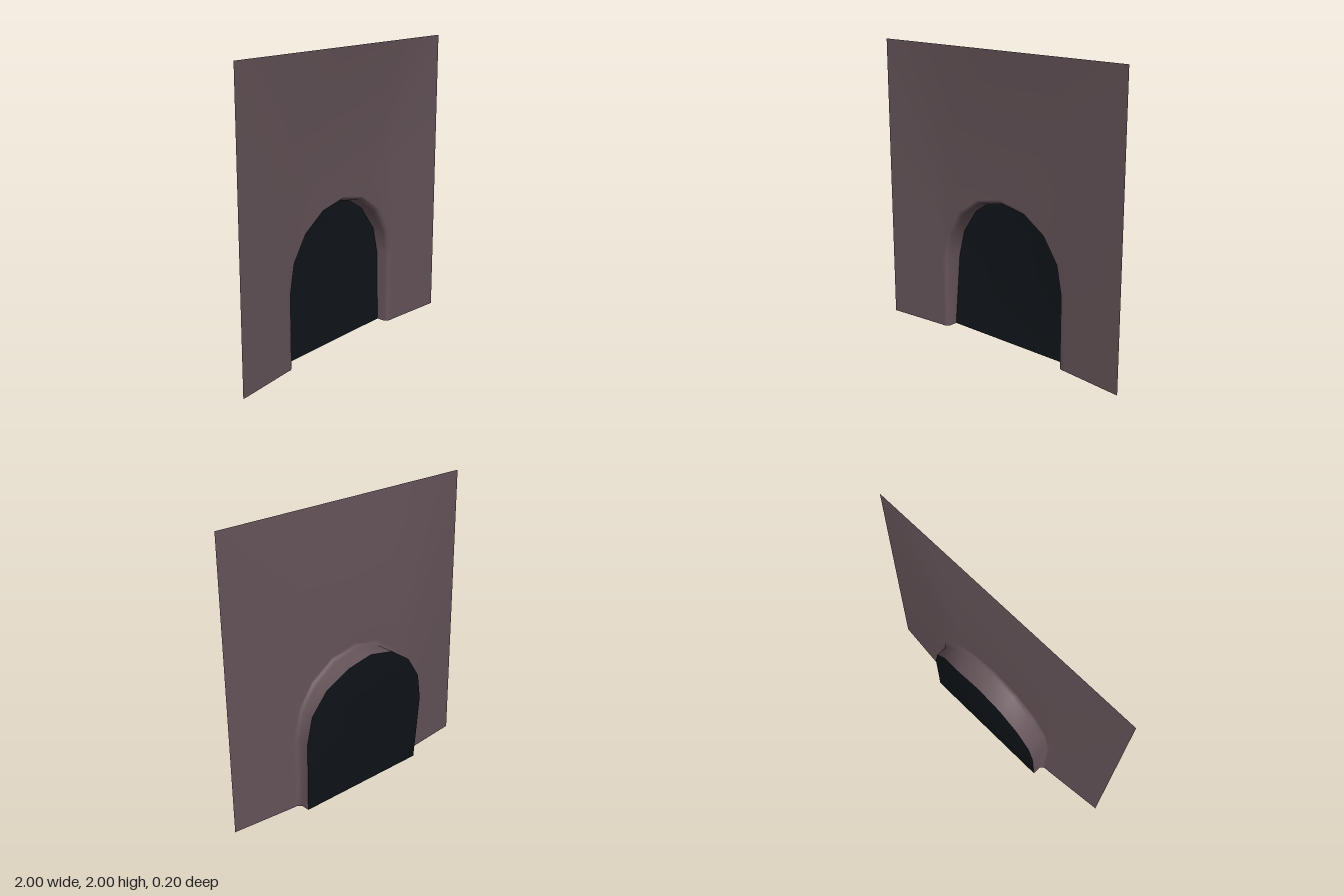
import * as THREE from 'three';

// Surface through open rings of points that share a station count
function loft(rings, material) {
  const n = rings[0].length;
  const index = [];
  for (let k = 0; k < rings.length - 1; k++) {
    for (let i = 0; i < n - 1; i++) {
      const a = k * n + i, b = a + 1, d = a + n, c = d + 1;
      index.push(a, b, c, a, c, d);
    }
  }
  return surface(rings.flat(), index, material);
}

function surface(points, index, material) {
  const geometry = new THREE.BufferGeometry();
  geometry.setAttribute('position', new THREE.Float32BufferAttribute(points.flat(), 3));
  geometry.setIndex(index);
  geometry.computeVertexNormals();
  return new THREE.Mesh(geometry, material);
}

// Mirror a right-hand half path (floor to crown) into a full ring
function mirrored(half) {
  return [...half, ...half.slice(0, -1).reverse().map(([x, y, z]) => [-x, y, z])];
}

// Round-headed arch: floor, then eight segments, then floor
function arch(r, depths) {
  const ring = [[r, 0, depths[0]]];
  for (let i = 0; i <= 8; i++) {
    const t = (i / 8) * Math.PI;
    ring.push([r * Math.cos(t), 0.5 + r * Math.sin(t), depths[i + 1]]);
  }
  ring.push([-r, 0, depths[10]]);
  return ring;
}

export function createModel() {
  const group = new THREE.Group();
  const stone = new THREE.MeshStandardMaterial({ color: 0x655459, side: THREE.DoubleSide });
  const dark = new THREE.MeshStandardMaterial({ color: 0x0f1318, side: THREE.DoubleSide });
  const level = (z) => new Array(11).fill(z);

  // Wall edge and the shallow dip around the opening
  const edge = mirrored([[1, 0], [1, 0.5], [1, 1.1], [1, 2], [0.5, 2], [0, 2]].map(([x, y]) => [x, y, 0.1]));
  const dip = mirrored([[0.56, 0], [0.56, 0.5], [0.55, 0.8], [0.5, 1.2], [0.42, 1.45], [0, 1.5]]
    .map(([x, y]) => [x, y, 0.057]));

  // Uneven back edge of the reveal
  const back = arch(0.5, [-0.03, -0.04, -0.048, -0.07, -0.098, -0.1, -0.1, -0.096, -0.088, -0.076, -0.03]);

  const wall = loft([edge, dip, arch(0.53, level(0.056)), arch(0.515, level(0.048)),
    arch(0.5, level(0.03)), back], stone);
  wall.name = 'wallWithArchedReveal';
  group.add(wall);

  // Dark panel closing the niche, bulging back at its middle
  const fan = [];
  for (let i = 0; i < 11; i++) fan.push(i, (i + 1) % 11, 11);
  const panel = surface([...back, [0, 0.5, -0.1]], fan, dark);
  panel.name = 'nicheBackPanel';
  group.add(panel);

  return group;
}
